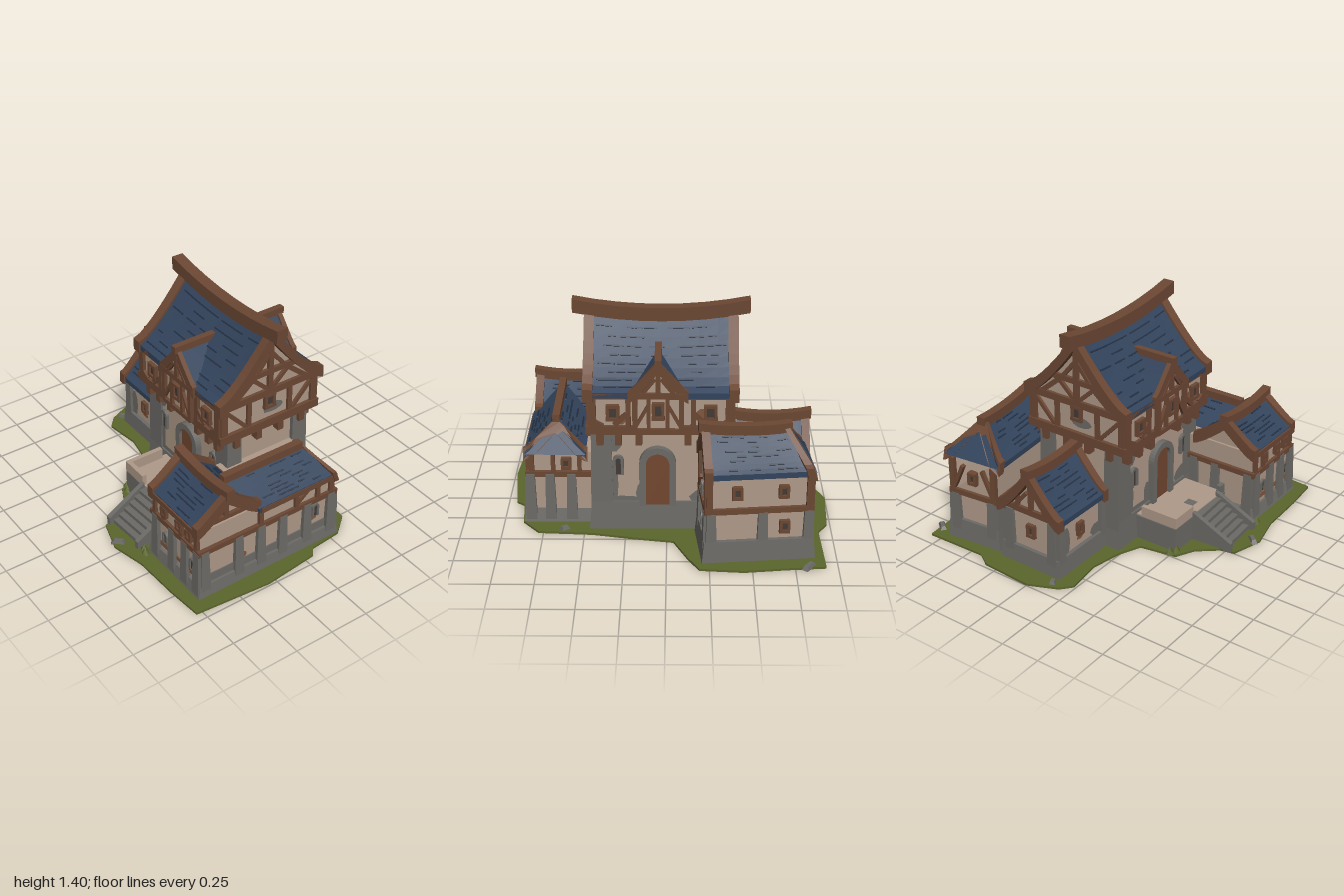
import * as THREE from 'three';
import { mergeGeometries } from 'three/addons/utils/BufferGeometryUtils.js';

const material = (name, color) => Object.assign(new THREE.MeshStandardMaterial({ color }), { name });
const timber = material('timber', 0x6b4733), tile = material('blue tile', 0x32435b);
const tileGap = material('dark tile edge', 0x222f42), plaster = material('plaster', 0xae9988);
const stone = material('stone', 0x6c6a66), grass = material('grass', 0x5b652c);
const doorWood = material('door wood', 0x724730), dark = material('window dark', 0x423b37);
const brick = material('exposed brick', 0x80573f);
const HALF = Math.PI / 2;

let seed = 7;
const rnd = () => (seed = (seed * 16807) % 2147483647) / 2147483647;

function add(parent, name, geo, mat, x = 0, y = 0, z = 0) {
  const m = new THREE.Mesh(geo, mat);
  m.name = name;
  m.position.set(x, y, z);
  parent.add(m);
  return m;
}
function group(parent, name, x = 0, z = 0, turn = 0, y = 0) {
  const g = new THREE.Group();
  g.name = name;
  g.position.set(x, y, z);
  g.rotation.y = turn;
  parent.add(g);
  return g;
}
// Box standing on y, narrowing towards its top
function block(parent, name, mat, w, h, d, x, y, z, taper = 1) {
  const geo = new THREE.BoxGeometry(w, h, d), p = geo.attributes.position;
  for (let i = 0; i < p.count; i++)
    if (p.getY(i) > 0) p.setXYZ(i, p.getX(i) * taper, p.getY(i), p.getZ(i) * taper);
  geo.computeVertexNormals();
  return add(parent, name, geo, mat, x, y + h / 2, z);
}
// Timbers lying on a wall face: [x1, y1, x2, y2, width]
function beams(face, list, depth = 0.03) {
  for (const [x1, y1, x2, y2, w = 0.03] of list) {
    const geo = new THREE.BoxGeometry(Math.hypot(x2 - x1, y2 - y1), w, depth);
    add(face, 'timber beam', geo, timber, (x1 + x2) / 2, (y1 + y2) / 2, 0.003).rotation.z = Math.atan2(y2 - y1, x2 - x1);
  }
}
const mirrored = list => list.flatMap(([a, b, c, d, w]) => [[a, b, c, d, w], [-a, b, -c, d, w]]);
// Ragged patches of worn wall: [x, y, width, height]
function patches(face, mat, list) {
  for (const [x, y, w, h] of list) {
    const pts = Array.from({ length: 10 }, (_, i) => {
      const a = i * Math.PI / 5, r = 0.5 + rnd() * 0.12;
      return new THREE.Vector2(Math.cos(a) * w * r, Math.sin(a) * h * r);
    });
    add(face, 'worn patch', new THREE.ShapeGeometry(new THREE.Shape(pts)), mat, x, y, 0.007);
  }
}
// Arched surround with a filled opening
function archway(face, name, x, y, W, H, w, fill, depth) {
  const g = group(face, name, x, 0, 0, y), c = H - W / 2, s = new THREE.Shape();
  s.moveTo(-W / 2, 0).lineTo(-W / 2, c).absarc(0, c, W / 2, Math.PI, 0, true).lineTo(W / 2, 0);
  s.lineTo(w / 2, 0).lineTo(w / 2, c).absarc(0, c, w / 2, 0, Math.PI, false).lineTo(-w / 2, 0);
  add(g, 'stone surround', new THREE.ExtrudeGeometry(s, { depth, bevelEnabled: false, curveSegments: 8 }), stone);
  const f = new THREE.Shape();
  f.moveTo(-w / 2, 0).lineTo(w / 2, 0).lineTo(w / 2, c).absarc(0, c, w / 2, 0, Math.PI, false);
  add(g, 'opening panel', new THREE.ShapeGeometry(f, 8), fill, 0, 0, depth * 0.5);
}
function squareWindow(face, x, y, w = 0.06, h = 0.08) {
  const g = group(face, 'window', x, 0, 0, y);
  add(g, 'window pane', new THREE.BoxGeometry(w, h, 0.008), dark, 0, 0, 0.006);
  beams(g, [[-w / 2, -h / 2, -w / 2, h / 2, 0.018], [w / 2, -h / 2, w / 2, h / 2, 0.018],
    [-w * 0.7, -h / 2, w * 0.7, -h / 2, 0.02], [-w * 0.65, h / 2, w * 0.65, h / 2, 0.018]], 0.04);
}

// Roof height across its width; roofs run along local x
const roofY = (o, z) => o.eave + (o.ridge - o.eave) * Math.pow(Math.max(0, 1 - Math.abs(z) / o.hw), o.p);
const profile = (o, hw, off) => Array.from({ length: 17 }, (_, i) => {
  const z = hw * (i / 8 - 1);
  return new THREE.Vector2(z, roofY(o, z) + off);
});
// Raise the ridge ends, lean the hipped end inwards, stretch the ridge at the other end
function bend(geo, o) {
  const p = geo.attributes.position;
  for (let i = 0; i < p.count; i++) {
    const x = p.getX(i), u = 2 * x / o.L;
    const f = Math.min(1, Math.max(0, (p.getY(i) - o.eave) / (o.ridge - o.eave)));
    p.setXYZ(i, x - Math.min(0, u) * f * o.hip + Math.max(0, u) * f * o.reach, p.getY(i) + o.sag * u * u * f, p.getZ(i));
  }
  geo.computeVertexNormals();
  return geo;
}
function extrudeX(points, length, x, o) {
  const geo = new THREE.ExtrudeGeometry(new THREE.Shape(points), { depth: length, steps: 8, bevelEnabled: false });
  return bend(geo.translate(0, 0, x - length / 2).rotateY(HALF), o);
}
// Roof with its gabled wall, edge boards, ridge beam and tile lines
function roofed(parent, name, x, z, turn, opts) {
  const o = { p: 1.2, sag: 0, hip: 0, reach: 0, marks: 40, over: 0.03, beam: 0.055, board: 0.05, inset: 0.05, boardEnds: [-1, 1], eaveBeams: true, ...opts };
  const g = group(parent, name, x, z, turn), { L, hw } = o;
  add(g, 'tiled roof', extrudeX([...profile(o, hw, 0.01), ...profile(o, hw, -0.025).reverse()], L - 0.02, 0, o), tile);
  if (o.hip) add(g, 'hipped end', extrudeX(profile(o, hw, 0), 0.008, -L / 2 + 0.008, o), tile);
  for (const s of o.boardEnds)
    add(g, 'edge board', extrudeX([...profile(o, hw + 0.01, 0.03), ...profile(o, hw + 0.01, -0.045).reverse()],
      o.board, s * (L - o.board) / 2, o), timber);
  const wall = [new THREE.Vector2(-o.wall, o.base), ...profile(o, o.wall, -0.02), new THREE.Vector2(o.wall, o.base)];
  add(g, 'gabled wall', extrudeX(wall, L - 2 * o.inset, 0, o), plaster);
  const x0 = -L / 2 + o.hip - o.over, x1 = L / 2 + o.over + o.reach;
  const beam = new THREE.BoxGeometry(x1 - x0, o.beam * 1.1, o.beam, 8).translate((x0 + x1) / 2, o.ridge + 0.02, 0);
  add(g, 'ridge beam', bend(beam, { ...o, hip: 0, reach: 0, eave: -1, ridge: 0 }), timber);
  if (o.eaveBeams) for (const s of [-1, 1])
    block(g, 'eave beam', timber, L - 0.04, 0.035, 0.03, 0, o.eave - 0.03, s * (o.wall + 0.01));
  const lines = [];
  for (let i = 0; i < o.marks; i++) {
    const s = i % 2 ? 1 : -1, t = (1 + Math.floor(rnd() * 8)) / 9.5, zz = s * hw * (1 - t);
    const slope = (o.ridge - o.eave) * o.p * Math.pow(t, o.p - 1) / hw;
    const line = new THREE.BoxGeometry(0.04 + rnd() * 0.07, 0.008, 0.009).rotateX(Math.atan(s * slope));
    lines.push(bend(line.translate((rnd() - 0.5) * (L - 0.22), roofY(o, zz) + 0.012, zz), o));
  }
  if (lines.length) add(g, 'tile lines', mergeGeometries(lines), tileGap);
  return g;
}
// Stone footing, plaster storey and tapered piers at given offsets
function storey(g, w, d, h, xs, zs, foot = 0.085) {
  block(g, 'plaster storey', plaster, w, h, d, 0, 0, 0);
  block(g, 'stone footing', stone, w + 0.07, foot, d + 0.07, 0, 0, 0, 0.96);
  for (const s of [-1, 1]) {
    for (const x of xs) block(g, 'stone pier', stone, 0.07, h, 0.06, x, 0, s * d / 2, 0.75);
    for (const z of zs) block(g, 'stone pier', stone, 0.06, h, 0.07, s * w / 2, 0, z, 0.75);
  }
}

function buildTower(root) {
  const t = group(root, 'tower', 0.035, -0.08);
  block(t, 'tower wall', plaster, 0.8, 0.68, 0.58, 0, 0, 0, 0.97);
  block(t, 'tower footing', stone, 0.87, 0.19, 0.63, 0, 0, 0, 0.96);
  for (const x of [-1, 1]) for (const z of [-1, 1])
    block(t, 'corner pier', stone, 0.14, 0.67, 0.12, x * 0.355, 0, z * 0.245, 0.85);
  for (const s of [1, -1]) {
    const f = group(t, s > 0 ? 'front face' : 'back face', 0, s * 0.285, s > 0 ? 0 : Math.PI);
    archway(f, 'doorway', s * 0.02, 0.17, 0.22, 0.39, 0.14, doorWood, 0.04);
    patches(f, stone, [[-0.28, 0.6, 0.09, 0.14], [-0.29, 0.3, 0.06, 0.3], [-0.2, 0.19, 0.26, 0.06], [0.29, 0.22, 0.2, 0.12], [0.3, 0.6, 0.08, 0.16], [-0.11, 0.24, 0.07, 0.16]]);
    for (const x of [-0.255, 0.27]) archway(f, 'arched window', x, 0.37, 0.065, 0.13, 0.03, dark, 0.02);
    for (const x of [-0.36, -0.25, -0.13, 0.16, 0.27, 0.36])
      block(f, 'jetty bracket', timber, 0.04, 0.1, 0.07, x, 0.59, 0.025);
    const side = group(t, 'side face', s * 0.39, 0, s * HALF);
    for (const z of [-0.24, -0.08, 0.08, 0.24]) block(side, 'jetty bracket', timber, 0.04, 0.08, 0.06, z, 0.61, 0.02);
  }
  block(t, 'jetty frame', timber, 0.88, 0.055, 0.73, 0, 0.67, 0);

  const up = roofed(root, 'upper storey', 0.035, -0.08, 0,
    { L: 0.91, hw: 0.37, eave: 0.93, ridge: 1.275, p: 1.3, sag: 0.04, wall: 0.345, base: 0.7, marks: 130, over: 0.07, beam: 0.075, board: 0.06, inset: 0.04 });
  for (const s of [1, -1]) {
    const f = group(up, 'long wall frame', 0, s * 0.348, s > 0 ? 0 : Math.PI);
    beams(f, mirrored([[-0.4, 0.72, -0.4, 0.92, 0.045], [-0.19, 0.72, -0.19, 0.92], [-0.39, 0.75, -0.34, 0.72], [-0.2, 0.8, -0.27, 0.73]]));
    beams(f, [[-0.42, 0.915, 0.42, 0.915, 0.035]]);
    patches(f, brick, [[0.24, 0.79, 0.07, 0.08], [0.33, 0.745, 0.08, 0.025], [-0.23, 0.76, 0.05, 0.05]]);
    for (const x of [-0.28, 0.29]) squareWindow(f, x, 0.81);
    const e = group(up, 'gable frame', s * 0.415, 0, s * HALF);
    beams(e, mirrored([[-0.33, 0.72, -0.33, 0.92, 0.045], [-0.15, 0.72, -0.15, 0.91], [-0.31, 0.88, -0.17, 0.73, 0.025],
      [-0.26, 0.93, -0.13, 1.04, 0.03], [-0.16, 1.07, -0.02, 0.94, 0.025], [-0.1, 1.07, -0.01, 1.18, 0.025]]));
    beams(e, [[-0.36, 0.915, 0.36, 0.915, 0.045], [-0.18, 1.06, 0.18, 1.06, 0.035], [0, 0.93, 0, 1.27, 0.035]], 0.035);
    patches(e, stone, [[0.03, 0.79, 0.13, 0.06]]);
    squareWindow(e, 0, 0.85, 0.06, 0.08);

    const d = roofed(root, 'dormer', 0.05, -0.08 + s * 0.245, -s * HALF,
      { L: 0.28, hw: 0.165, eave: 0.925, ridge: 1.115, p: 1.05, wall: 0.14, base: 0.69, marks: 0, over: 0.015, beam: 0.04, board: 0.03, inset: 0.018, eaveBeams: false });
    const df = group(d, 'dormer frame', 0.124, 0, HALF);
    beams(df, mirrored([[-0.135, 0.69, -0.135, 0.93], [-0.055, 0.69, -0.055, 0.92, 0.022], [-0.13, 0.73, -0.06, 0.86, 0.018], [-0.09, 0.94, -0.02, 1.03, 0.02]]));
    beams(df, [[-0.16, 0.925, 0.16, 0.925, 0.035], [0, 0.93, 0, 1.11, 0.028], [-0.14, 0.7, 0.14, 0.7, 0.03]]);
    squareWindow(df, 0, 0.83, 0.055, 0.09);
  }
}

function buildEntrance(root) {
  const g = group(root, 'entrance');
  block(g, 'landing', stone, 0.55, 0.165, 0.32, 0.065, 0, 0.36);
  block(g, 'landing floor', plaster, 0.53, 0.008, 0.3, 0.065, 0.163, 0.36);
  block(g, 'worn floor patch', stone, 0.06, 0.006, 0.07, 0.1, 0.168, 0.42, 0.9);
  block(g, 'landing parapet', plaster, 0.19, 0.07, 0.03, -0.115, 0.17, 0.505);
  block(g, 'landing parapet', plaster, 0.03, 0.07, 0.25, -0.195, 0.17, 0.39);
  block(g, 'landing parapet', stone, 0.05, 0.06, 0.03, 0.31, 0.17, 0.505);
  const stairs = group(g, 'stairs', 0.13, 0.51, 0.06);
  for (let i = 0; i < 6; i++) block(stairs, 'step', stone, 0.26, 0.165 - i * 0.026, 0.044, 0, 0, 0.02 + i * 0.04);
  const cheek = new THREE.Shape([[0, 0], [0.27, 0], [0.27, 0.06], [0, 0.2]].map(p => new THREE.Vector2(...p)));
  for (const x of [-0.16, 0.13])
    add(stairs, 'stair cheek', new THREE.ExtrudeGeometry(cheek, { depth: 0.03, bevelEnabled: false }).rotateY(-HALF), stone, x + 0.03, 0, 0);
}

function buildRightWing(root) {
  const low = group(root, 'right wing base', 0.61, 0.205);
  storey(low, 0.46, 0.97, 0.33, [-0.2, -0.03, 0.1, 0.22], [-0.46, -0.28, -0.1, 0.06, 0.22, 0.46]);
  block(low, 'floor beam', timber, 0.5, 0.035, 1.01, 0, 0.31, 0);
  block(low, 'upper wall', plaster, 0.45, 0.13, 0.96, 0, 0.34, 0);
  const front = roofed(root, 'right wing front roof', 0.6, 0.49, 0, { L: 0.5, hw: 0.215, eave: 0.48, ridge: 0.62, sag: 0.025, wall: 0.2, base: 0.34, p: 1.1, over: 0.01 });
  roofed(root, 'right wing rear roof', 0.675, -0.005, -HALF, { L: 0.59, hw: 0.185, eave: 0.46, ridge: 0.61, wall: 0.165, base: 0.34, p: 1.1, hip: 0.13, reach: 0.15, over: -0.02, beam: 0.045, board: 0.03, boardEnds: [-1] });
  const gable = group(front, 'gable frame', 0.205, 0, HALF);
  beams(gable, mirrored([[-0.19, 0.33, -0.19, 0.48, 0.035], [-0.18, 0.35, -0.08, 0.46, 0.022], [-0.13, 0.5, -0.04, 0.56, 0.022]]));
  beams(gable, [[-0.21, 0.48, 0.21, 0.48, 0.035], [0, 0.48, 0, 0.63, 0.03]]);
  patches(gable, brick, [[0, 0.43, 0.09, 0.03], [-0.06, 0.36, 0.1, 0.025]]);
  const f = group(low, 'front face', 0, 0.485);
  beams(f, [-0.21, -0.12, 0.06, 0.21].map(x => [x, 0.33, x, 0.47, 0.028]));
  block(f, 'brick band', brick, 0.42, 0.03, 0.012, 0, 0.115, 0);
  for (const x of [-0.11, 0.04, 0.14]) squareWindow(f, x, 0.405, 0.04, 0.055);
  for (const x of [-0.11, 0.165]) archway(f, 'arched window', x, 0.16, 0.05, 0.085, 0.025, dark, 0.015);
  const e = group(low, 'side face', 0.23, 0, HALF);
  block(e, 'stone wall foot', stone, 0.94, 0.06, 0.014, 0, 0.08, 0);
  beams(e, [-0.06, 0.2, 0.36, 0.46].map(x => [x, 0.33, x, 0.47, 0.028]));
  beams(e, [[0.2, 0.36, 0.32, 0.46, 0.022]]);
  patches(e, brick, [[-0.21, 0.24, 0.06, 0.08], [-0.18, 0.17, 0.04, 0.04], [0.33, 0.2, 0.06, 0.05]]);
  archway(e, 'arched window', 0.35, 0.2, 0.05, 0.095, 0.025, dark, 0.015);
  const b = group(low, 'back face', 0, -0.485, Math.PI);
  beams(b, mirrored([[-0.21, 0.33, -0.21, 0.46, 0.03], [-0.08, 0.33, -0.08, 0.46, 0.025]]));
  squareWindow(b, 0, 0.4, 0.045, 0.06);
}

function buildLeftWing(root) {
  const low = group(root, 'left wing base', -0.6, -0.09);
  storey(low, 0.44, 0.38, 0.36, [-0.205, 0.2], [-0.16, 0.16], 0.12);
  const r = roofed(root, 'left wing roof', -0.62, -0.09, 0, { L: 0.49, hw: 0.225, eave: 0.375, ridge: 0.605, sag: 0.025, wall: 0.19, base: 0.34, marks: 60, over: 0.01 });
  const f = group(low, 'front face', 0, 0.19);
  patches(f, stone, [[-0.15, 0.2, 0.06, 0.18], [0.14, 0.15, 0.1, 0.08]]);
  patches(f, brick, [[-0.02, 0.175, 0.06, 0.025]]);
  squareWindow(f, -0.02, 0.24, 0.04, 0.07);
  const e = group(r, 'gable frame', -0.197, 0, -HALF);
  beams(e, mirrored([[-0.12, 0.39, -0.03, 0.5, 0.022], [-0.1, 0.39, -0.1, 0.46, 0.022]]));
  beams(e, [[-0.22, 0.375, 0.22, 0.375, 0.04], [0, 0.38, 0, 0.6, 0.03]]);
  squareWindow(group(low, 'end face', -0.22, 0, -HALF), 0, 0.25, 0.045, 0.07);
}

function buildBackHouse(root) {
  const low = group(root, 'back house base', -0.52, -0.57, 0.1);
  storey(low, 0.6, 0.31, 0.32, [-0.29, -0.02, 0.28], [-0.13, 0.13], 0.14);
  block(low, 'floor beam', timber, 0.64, 0.035, 0.35, 0, 0.315, 0);
  const r = roofed(root, 'back house roof', -0.52, -0.57, 0.1, { L: 0.65, hw: 0.195, eave: 0.575, ridge: 0.755, sag: 0.028, wall: 0.155, base: 0.33, p: 1.1, hip: 0.14, marks: 50, over: 0.015, inset: 0.025 });
  const e = group(r, 'gable frame', 0.302, 0, HALF);
  beams(e, mirrored([[-0.15, 0.34, -0.15, 0.6, 0.035], [-0.14, 0.36, -0.09, 0.44, 0.022]]));
  patches(e, stone, [[0.02, 0.41, 0.13, 0.09]]);
  archway(e, 'arched window', 0, 0.37, 0.055, 0.09, 0.03, dark, 0.02);
  archway(e, 'arched window', 0, 0.17, 0.055, 0.08, 0.03, dark, 0.02);
  const b = group(r, 'back face', 0, -0.156, Math.PI);
  beams(b, mirrored([[-0.29, 0.34, -0.29, 0.56, 0.035]]));
  for (const [x, y] of [[-0.13, 0.45], [0.14, 0.45], [0.15, 0.22]]) squareWindow(b, x, y, 0.045, 0.065);
  const w = group(r, 'end face', -0.302, 0, -HALF);
  beams(w, mirrored([[-0.15, 0.34, -0.15, 0.56, 0.035], [-0.14, 0.36, -0.07, 0.52, 0.022]]));
  squareWindow(w, 0, 0.45, 0.045, 0.065);
}

function buildGround(root) {
  const edge = [[-0.93, -0.82], [-0.7, -0.84], [-0.45, -0.87], [-0.19, -0.85], [-0.12, -0.72], [-0.04, -0.54], [0.2, -0.5], [0.45, -0.45],
    [0.78, -0.43], [0.88, -0.31], [0.9, -0.1], [0.95, -0.06], [0.99, 0.3], [0.95, 0.79], [0.72, 0.81], [0.42, 0.82], [0.2, 0.87], [0, 0.81],
    [-0.02, 0.72], [-0.12, 0.6], [-0.24, 0.54], [-0.28, 0.31], [-0.42, 0.25], [-0.62, 0.21], [-0.85, 0.24], [-0.92, 0.18], [-1, 0], [-0.98, -0.33], [-0.92, -0.42]];
  const shape = new THREE.Shape(edge.map(([x, z]) => new THREE.Vector2(x, -z)));
  add(root, 'ground', new THREE.ExtrudeGeometry(shape, { depth: 0.014, bevelEnabled: false }).rotateX(-HALF), grass);
  for (const [x, z, w] of [[-0.83, -0.82, 0.1], [0.18, 0.83, 0.09], [0.62, -0.4, 0.06], [-0.9, 0.12, 0.05]])
    block(root, 'loose rock', stone, w, 0.025, 0.04, x, 0.008, z, 0.6).rotation.y = w * 9;
  for (const [x, z] of [[-0.24, 0.5], [-0.2, 0.52], [0.33, 0.74], [0.36, 0.75]])
    add(root, 'grass tuft', new THREE.ConeGeometry(0.03, 0.05, 5), grass, x, 0.035, z);
}

export function createModel() {
  const root = new THREE.Group();
  root.name = 'timber framed manor';
  buildGround(root);
  const house = group(root, 'house', 0, 0, 0, 0.006);
  for (const build of [buildTower, buildEntrance, buildRightWing, buildLeftWing, buildBackHouse]) build(house);
  return root;
}
